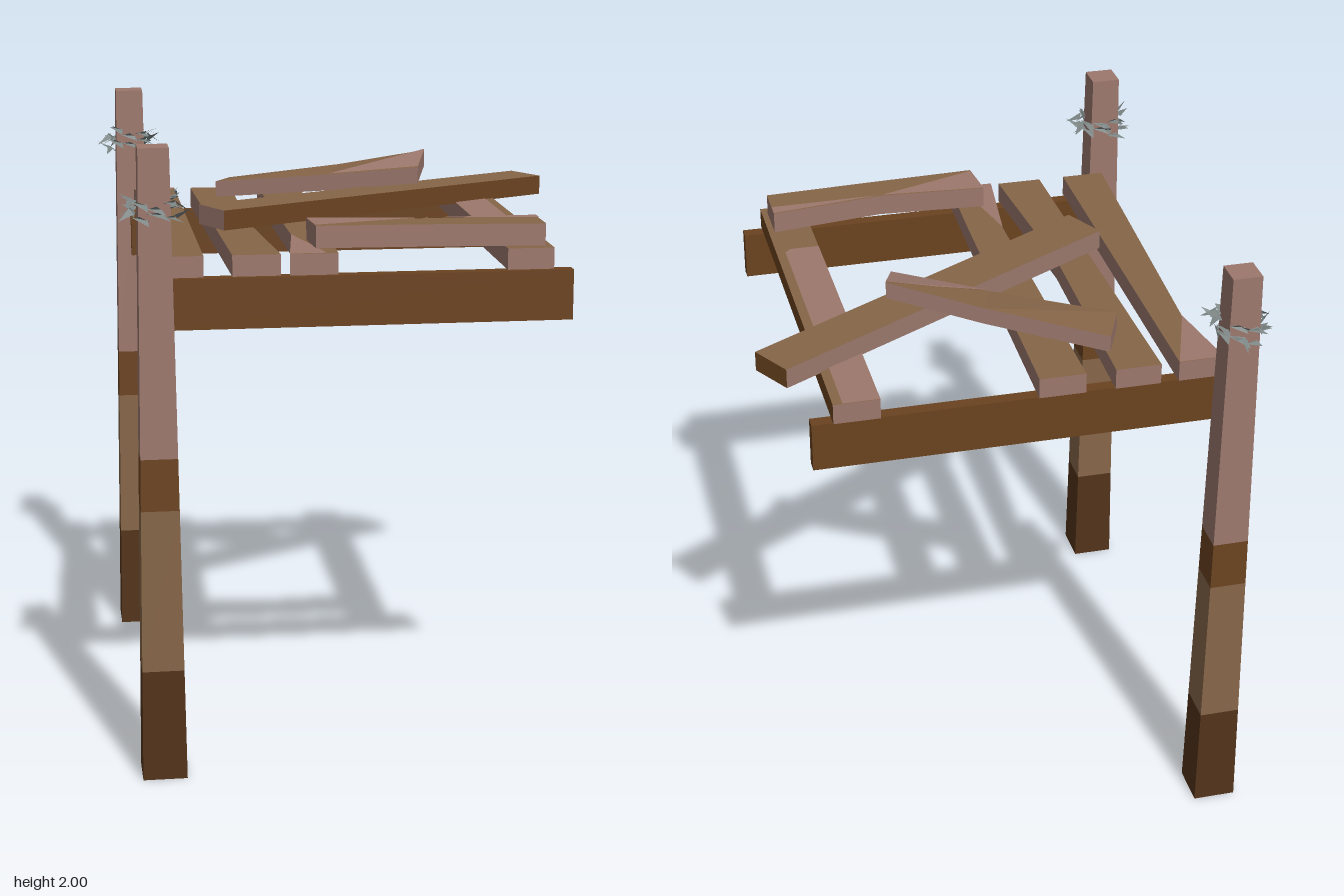
import * as THREE from 'three';

const mat = (name, color, side = THREE.FrontSide) =>
  new THREE.MeshStandardMaterial({ name, color, side });

export function createModel() {
  const pink = mat('weatheredWood', 0x9c786d);
  const tan = mat('tanWood', 0x866548);
  const brown = mat('brownWood', 0x6b4320);
  const dark = mat('darkWood', 0x53331a);
  const grey = mat('wireMetal', 0x7d8786, THREE.DoubleSide);
  const model = new THREE.Group();
  model.name = 'brokenPlatform';

  const add = (parent, name, geometry, material) => {
    const mesh = new THREE.Mesh(geometry, material);
    mesh.name = name;
    parent.add(mesh);
    return mesh;
  };
  const fromPoints = (points) => {
    const g = new THREE.BufferGeometry();
    g.setAttribute('position', new THREE.Float32BufferAttribute(points.flat(), 3));
    g.computeVertexNormals();
    return g;
  };

  // Tapered square posts, painted in bands
  const half = (y) => 0.07 - 0.0115 * y;
  const bands = [[0, 0.36, dark], [0.36, 0.88, tan], [0.88, 1.045, brown], [1.045, 2, pink]];
  function post(name, x, z) {
    const group = new THREE.Group();
    group.name = name;
    group.position.set(x, 0, z);
    bands.forEach(([y0, y1, material], i) => {
      const inner = i > 0 && i < bands.length - 1;
      const g = new THREE.CylinderGeometry(half(y1) * Math.SQRT2, half(y0) * Math.SQRT2,
        y1 - y0, 4, 1, inner, Math.PI / 4).toNonIndexed();
      g.computeVertexNormals();
      add(group, 'postBand' + (i + 1), g, material).position.y = (y0 + y1) / 2;
    });
    model.add(group);
    return group;
  }

  // Ragged wire: a loose winding of thin blades with sharp barbs
  function wire(parent, turn) {
    const pts = [];
    const at = (a, r, y) => [Math.cos(a) * r, y, Math.sin(a) * r];
    const n = 18;
    for (let i = 0; i < n; i++) {
      const a = turn + i * Math.PI * 4 / n;
      const b = a + Math.PI * 4.6 / n;
      const y = 1.785 + 0.065 * i / n + 0.012 * Math.sin(i * 2.3);
      const r = 0.09 + 0.018 * Math.sin(i * 1.7 + turn);
      pts.push(at(a, 0.062, y), at(b, 0.07, y + 0.008), at((a + b) / 2, r, y + 0.018));
      pts.push(at(a, r, y - 0.012), at(b, 0.08, y + 0.012), at(a + 0.1, 0.065, y + 0.006));
      if (i % 3 === 0) {
        const tip = y + (i % 2 ? -0.02 : 0.035);
        pts.push(at(a, 0.075, y), at(a + 0.3, 0.08, y + 0.015), at(a + 0.12, 0.127, tip));
      }
    }
    add(parent, 'barbedWire', fromPoints(pts), grey);
  }
  wire(post('frontPost', -0.663, 0.755), 0.4);
  wire(post('backPost', -0.663, -0.752), 2.6);

  // Support beams
  for (const [name, z] of [['frontBeam', 0.668], ['backBeam', -0.625]])
    add(model, name, new THREE.BoxGeometry(1.32, 0.16, 0.043), brown).position.set(-0.01, 1.5, z);

  // Plank from sections [left x,y,z, right x,y,z] of its top face.
  // Materials: top, right, bottom, left, start end, far end
  const usual = [tan, pink, tan, pink, pink, pink];
  function plank(name, sections, thick, materials = usual) {
    const rings = sections.map(([a, b, c, d, e, f]) =>
      [[a, b, c], [d, e, f], [d, e - thick, f], [a, b - thick, c]]);
    const pts = [], groups = [];
    const quad = (a, b, c, d) => pts.push(a, b, c, a, c, d);
    const close = (start, m) => groups.push([start, pts.length - start, m]);
    for (let k = 0; k < 4; k++) {
      const start = pts.length;
      for (let i = 0; i + 1 < rings.length; i++) {
        const p = rings[i], q = rings[i + 1], j = (k + 1) % 4;
        quad(p[k], q[k], q[j], p[j]);
      }
      close(start, k);
    }
    quad(...rings[0]);
    close(pts.length - 6, 4);
    quad(...[...rings[rings.length - 1]].reverse());
    close(pts.length - 6, 5);
    const g = fromPoints(pts);
    groups.forEach((s) => g.addGroup(...s));
    return add(model, name, g, materials);
  }
  // Worn patch lying just above a plank, as a fan of corners
  function patch(name, corners, material = pink) {
    const pts = [];
    const lifted = corners.map(([x, y, z]) => [x, y + 0.002, z]);
    for (let i = 1; i + 1 < lifted.length; i++) pts.push(lifted[0], lifted[i], lifted[i + 1]);
    add(model, name, fromPoints(pts), material);
  }

  // Floor planks, running back to front: rows of [z, left x, right x]
  const top = 1.652;
  const floor = (name, rows, materials) =>
    plank(name, rows.map(([z, l, r]) => [l, top, z, r, top, z]), 0.067, materials);
  floor('floorPlank1', [[-0.66, -0.655, -0.51], [-0.38, -0.608, -0.51], [0.695, -0.653, -0.51]]);
  floor('floorPlank2', [[-0.66, -0.452, -0.305], [0.08, -0.435, -0.318], [0.695, -0.422, -0.272]]);
  floor('floorPlank3', [[-0.66, -0.21, -0.06], [0.36, -0.202, -0.084], [0.7, -0.245, -0.095]]);
  floor('floorPlank4', [[-0.66, 0.438, 0.585], [0.695, 0.438, 0.585]],
    [tan, brown, tan, pink, pink, pink]);
  patch('wornPatch1', [[-0.655, top, -0.66], [-0.608, top, -0.38], [-0.51, top, -0.66]]);
  patch('wornPatch3', [[-0.202, top, 0.36], [-0.245, top, 0.7], [-0.13, top, 0.7],
    [-0.17, top, 0.52]]);
  patch('wornPatch4', [[0.438, top, -0.66], [0.438, top, 0.37], [0.535, top, 0.37],
    [0.555, top, 0.35], [0.555, top, -0.66]]);

  // Loose planks lying on the floor
  plank('diagonalPlank', [
    [-0.41, 1.72, 0.27, -0.48, 1.72, 0.13],
    [0.775, 1.712, -0.39, 0.7, 1.712, -0.52],
  ], 0.065, [tan, pink, tan, brown, pink, brown]);

  plank('frontLoosePlank', [
    [-0.16, 1.732, 0.665, -0.172, 1.732, 0.515],
    [0.19, 1.728, 0.66, 0.19, 1.728, 0.547],
    [0.565, 1.722, 0.655, 0.565, 1.722, 0.508],
  ], 0.07);
  patch('loosePatchLeft', [[-0.172, 1.732, 0.515], [-0.16, 1.732, 0.655], [0.18, 1.729, 0.548]]);
  patch('loosePatchRight', [[0.2, 1.729, 0.547], [0.565, 1.723, 0.555], [0.565, 1.723, 0.508]]);

  plank('tiltedPlank', [
    [-0.38, 1.712, -0.41, -0.32, 1.705, -0.545],
    [0, 1.752, -0.25, 0.05, 1.768, -0.384],
    [0.29, 1.79, -0.125, 0.335, 1.83, -0.26],
  ], 0.055);
  patch('tiltedPatch', [[0, 1.754, -0.25], [0.29, 1.792, -0.125], [0.335, 1.832, -0.26],
    [0.17, 1.793, -0.26]]);

  return model;
}
